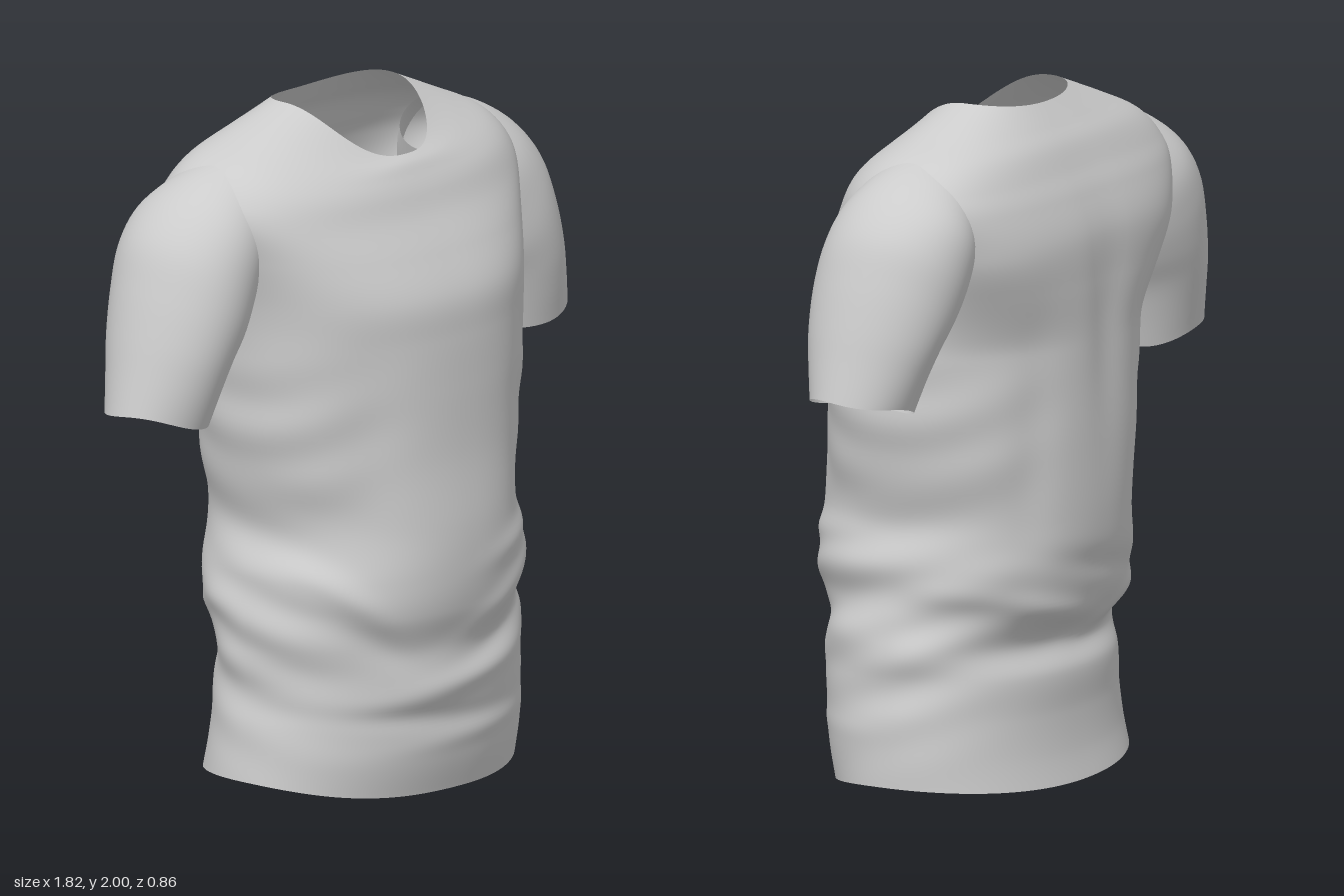
import * as THREE from 'three';

const material = new THREE.MeshStandardMaterial({ color: 0xcccccc, side: THREE.DoubleSide });

// Closed-ring surface: point(row 0..1, angle) -> [x, y, z]
function loft(name, rows, segs, point, flip = false) {
  const pos = [], idx = [];
  for (let i = 0; i <= rows; i++)
    for (let j = 0; j < segs; j++) pos.push(...point(i / rows, (j / segs) * Math.PI * 2));
  for (let i = 0; i < rows; i++)
    for (let j = 0; j < segs; j++) {
      const a = i * segs + j, b = i * segs + ((j + 1) % segs), c = a + segs, d = b + segs;
      if (flip) idx.push(a, b, c, b, d, c);
      else idx.push(a, c, b, b, c, d);
    }
  const geo = new THREE.BufferGeometry();
  geo.setAttribute('position', new THREE.Float32BufferAttribute(pos, 3));
  geo.setIndex(idx);
  geo.computeVertexNormals();
  const mesh = new THREE.Mesh(geo, material);
  mesh.name = name;
  return mesh;
}

// Smooth interpolation through a table of stations
function sample(table, t) {
  const f = t * (table.length - 1), i = Math.min(Math.floor(f), table.length - 2), u = f - i;
  const at = k => table[Math.max(0, Math.min(table.length - 1, k))];
  return table[0].map((_, c) => {
    const p0 = at(i - 1)[c], p1 = at(i)[c], p2 = at(i + 1)[c], p3 = at(i + 2)[c];
    const m1 = (p2 - p0) / 2, m2 = (p3 - p1) / 2, d = p2 - p1;
    return p1 + u * (m1 + u * (3 * d - 2 * m1 - m2 + u * (m1 + m2 - 2 * d)));
  });
}

// Body stations: x right, x left, z front, z back, y sides, y front, y back
const body = [
  [-0.51, 0.53, 0.35, -0.37, 0.045, 0.0, 0.01],
  [-0.50, 0.53, 0.375, -0.35, 0.14, 0.1, 0.1],
  [-0.49, 0.525, 0.385, -0.34, 0.23, 0.21, 0.21],
  [-0.475, 0.51, 0.40, -0.34, 0.34, 0.33, 0.33],
  [-0.49, 0.52, 0.39, -0.305, 0.44, 0.44, 0.42],
  [-0.49, 0.485, 0.42, -0.375, 0.55, 0.55, 0.53],
  [-0.475, 0.495, 0.432, -0.41, 0.66, 0.66, 0.66],
  [-0.435, 0.465, 0.43, -0.425, 0.80, 0.80, 0.80],
  [-0.48, 0.51, 0.41, -0.43, 1.0, 1.0, 1.0],
  [-0.50, 0.53, 0.405, -0.43, 1.2, 1.2, 1.2],
  [-0.51, 0.535, 0.40, -0.43, 1.35, 1.35, 1.35],
  [-0.53, 0.55, 0.388, -0.43, 1.48, 1.47, 1.48],
  [-0.575, 0.595, 0.33, -0.425, 1.62, 1.59, 1.62],
  [-0.61, 0.63, 0.27, -0.39, 1.73, 1.69, 1.73],
  [-0.59, 0.61, 0.238, -0.355, 1.80, 1.76, 1.80],
  [-0.52, 0.54, 0.215, -0.32, 1.87, 1.80, 1.87],
  [-0.39, 0.41, 0.195, -0.28, 1.93, 1.83, 1.92],
  [-0.21, 0.25, 0.17, -0.23, 2.0, 1.85, 1.98],
];

// Cloth folds: side (+1 front, -1 back), x, y, slope, half length, half width, depth
const folds = [
  [1, 0.25, 0.58, 0.45, 0.2, 0.05, 0.016],
  [1, 0.30, 0.72, 0.2, 0.18, 0.04, 0.012],
  [1, 0.28, 0.46, 0.3, 0.2, 0.04, -0.012],
  [1, -0.38, 0.64, -0.9, 0.1, 0.05, 0.012],
  [1, -0.32, 0.50, -0.5, 0.12, 0.05, -0.012],
  [1, 0.05, 0.34, 0.15, 0.32, 0.04, 0.012],
  [1, -0.15, 0.24, -0.1, 0.28, 0.035, -0.01],
  [1, 0.15, 0.17, 0.05, 0.3, 0.035, 0.008],
  [1, -0.33, 1.0, -2.2, 0.1, 0.12, -0.014],
  [1, 0.35, 1.02, 2.2, 0.1, 0.12, -0.014],
  [-1, 0.15, 0.52, 0.25, 0.3, 0.04, 0.016],
  [-1, -0.25, 0.50, -0.3, 0.22, 0.04, 0.016],
  [-1, -0.1, 0.62, 0.2, 0.3, 0.04, -0.01],
  [-1, 0.0, 1.35, 3, 0.08, 0.4, -0.016],
  [-1, 0.3, 1.0, 3, 0.07, 0.3, -0.012],
  [-1, -0.3, 1.0, 3, 0.07, 0.3, -0.012],
];

function bodyPoint(t, angle) {
  const [xr, xl, zf, zb, ys, yf, yb] = sample(body, t);
  const c = Math.cos(angle), s = Math.sin(angle), front = s >= 0;
  const upper = THREE.MathUtils.smoothstep(ys, 1.3, 1.6);
  const top = THREE.MathUtils.smoothstep(ys, 1.8, 2.0);
  // Rounder at the hem, squarer across chest and shoulder blades
  const n = 2.15 + upper * (front ? 0.3 * (1 - top) : 0.9 - 0.75 * top);
  const u = Math.sign(c) * Math.abs(c) ** (2 / n), v = Math.abs(s) ** (2 / n);
  const zc = -0.1 * upper;
  const x = (xl + xr) / 2 + u * (xl - xr) / 2;
  const z = zc + v * ((front ? zf : zb) - zc);
  let y = THREE.MathUtils.lerp(front ? yf : yb, ys, Math.abs(u) ** (front ? 3 : 2));
  y += -0.015 * u * (1 - THREE.MathUtils.smoothstep(ys, 0.04, 0.2));
  let push = 0;
  for (const [side, fx, fy, slope, len, width, depth] of folds) {
    if (side * s <= 0) continue;
    const dx = (x - fx) / len, dy = (y - fy - slope * (x - fx)) / width;
    // Near-vertical creases run along y, the others along x
    const e = Math.abs(slope) > 2 ? dx * dx + ((y - fy) / 0.3) ** 2 : dx * dx + dy * dy;
    push += depth * Math.exp(-e) * Math.min(1, Math.abs(s) * 3);
  }
  // Creases bunched at the flanks, and soft drapes hanging below the sleeves
  push += 0.007 * Math.abs(u) ** 4 * Math.sin(y * 38 + s * 5) * Math.exp(-(((y - 0.5) / 0.28) ** 2));
  push += 0.006 * Math.abs(u) ** 3 * Math.sin(y * 30 - s * s * 5) * Math.exp(-(((y - 1.1) / 0.2) ** 2));
  return [x + c * push, y, z + s * push];
}

// Sleeve stations: inner x, inner y, outer x, outer y, z front, z back
const sleeve = [
  [0.61, 1.165, 0.91, 1.235, 0.07, -0.23],
  [0.585, 1.25, 0.885, 1.34, 0.095, -0.26],
  [0.555, 1.33, 0.86, 1.45, 0.115, -0.29],
  [0.51, 1.40, 0.825, 1.58, 0.125, -0.315],
  [0.47, 1.48, 0.78, 1.70, 0.12, -0.33],
  [0.44, 1.57, 0.70, 1.79, 0.105, -0.325],
  [0.41, 1.66, 0.60, 1.85, 0.07, -0.28],
  [0.38, 1.74, 0.50, 1.885, 0.03, -0.22],
];

function makeSleeve(name, side) {
  return loft(name, 36, 56, (t, angle) => {
    const [ix, iy, ox, oy, zf, zb] = sample(sleeve, t);
    const c = Math.cos(angle), s = Math.sin(angle);
    const k = (1 + c) / 2;
    const drop = side < 0 ? 0.03 * (1 - t) : 0;
    const wave = 0.006 * Math.sin(angle * 3 + t * 7) * (1 - t);
    const z = (zf + zb) / 2 + s * (zf - zb) / 2 + (side < 0 ? -0.02 : 0.01) * (1 - t);
    const tuck = side < 0 ? 0.02 * t : 0;
    return [side * (ix + (ox - ix) * k - tuck), iy + (oy - iy) * k - drop + wave, z];
  }, side < 0);
}

export function createModel() {
  const shirt = new THREE.Group();
  shirt.name = 'tShirt';
  shirt.add(loft('body', 170, 144, bodyPoint));
  shirt.add(makeSleeve('leftSleeve', 1), makeSleeve('rightSleeve', -1));
  return shirt;
}
